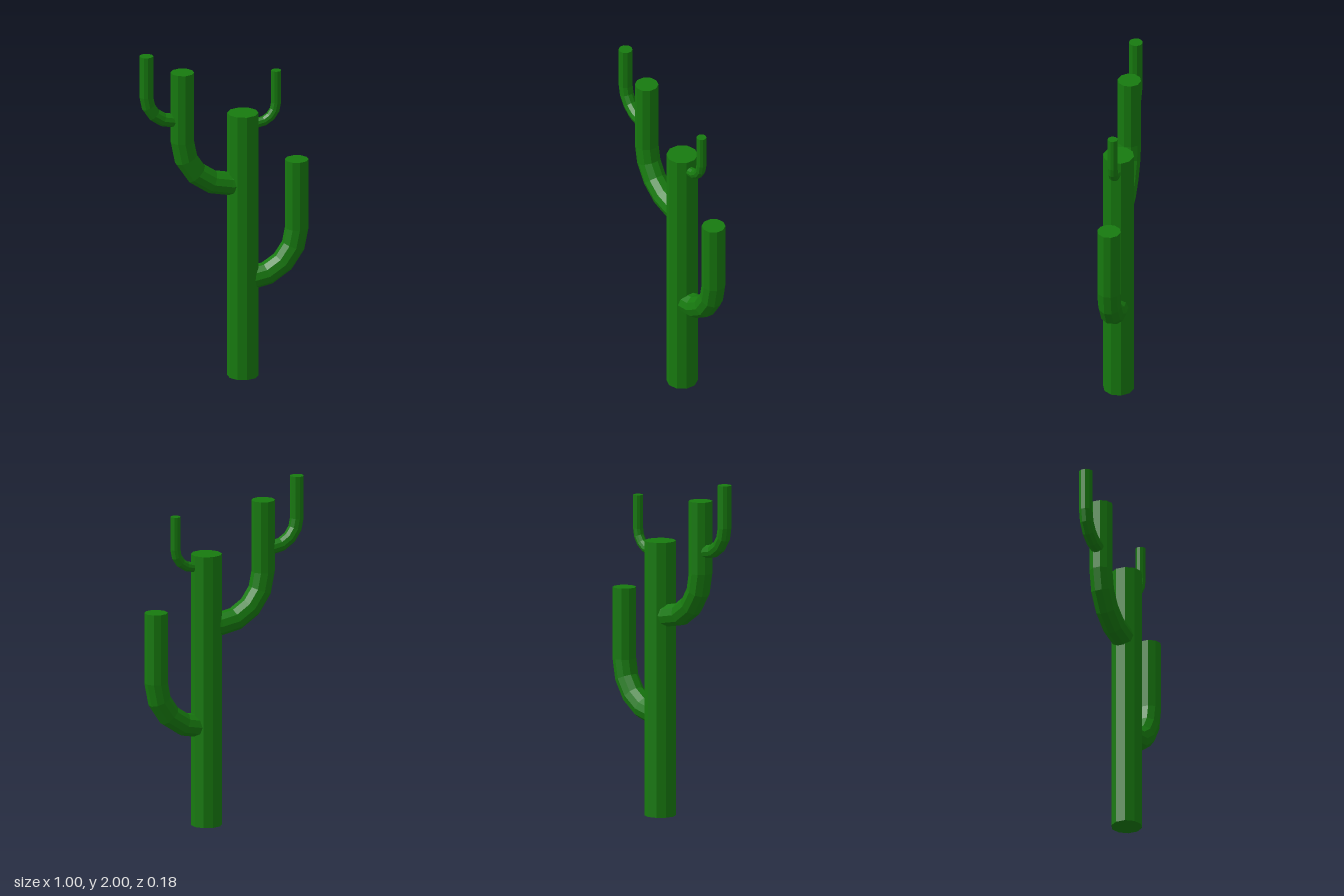
import * as THREE from 'three';

const SIDES = 10;
const BENDS = 4; // straight pieces in each elbow

// Bent stem: leaves sideways along +x, turns up through a quarter circle, ends at height
function stemGeometry(radius, bend, height, root) {
  const rings = BENDS + 2;
  const geo = new THREE.CylinderGeometry(radius, radius, 1, SIDES, rings);
  const pos = geo.attributes.position;
  for (let i = 0; i < pos.count; i++) {
    const ring = Math.round((pos.getY(i) + 0.5) * rings);
    const t = (THREE.MathUtils.clamp(ring - 1, 0, BENDS) / BENDS) * Math.PI / 2;
    let cx = bend * Math.sin(t);
    let cy = bend * (1 - Math.cos(t));
    if (ring === 0) cx = -root; // buried in the parent stem
    if (ring === rings) cy = height;
    const x = pos.getX(i);
    pos.setXY(i, cx + x * Math.sin(t), cy - x * Math.cos(t));
  }
  geo.computeVertexNormals();
  return geo;
}

export function createModel() {
  const model = new THREE.Group();
  model.name = 'cactus';
  const green = new THREE.MeshStandardMaterial({ color: 0x177a0f, flatShading: true });

  const add = (name, geo, x, y) => {
    const mesh = new THREE.Mesh(geo, green);
    mesh.name = name;
    mesh.position.set(x, y, 0);
    model.add(mesh);
    return mesh;
  };

  // Trunk
  add('trunk', new THREE.CylinderGeometry(0.09, 0.09, 1.6, SIDES), 0.112, 0.8);

  // Arms: side +1 grows to the left (+x), -1 to the right (-x)
  const arms = [
    { name: 'leftArm', side: 1, x: 0.432, y: 0.587, top: 1.286, radius: 0.068, bend: 0.285, root: 0.04 },
    { name: 'rightArm', side: -1, x: -0.248, y: 1.175, top: 1.88, radius: 0.068, bend: 0.285, root: 0.04 },
    { name: 'leftShoot', side: 1, x: 0.309, y: 1.53, top: 1.84, radius: 0.029, bend: 0.115, root: 0.04 },
    { name: 'rightShoot', side: -1, x: -0.462, y: 1.592, top: 2, radius: 0.04, bend: 0.16, root: 0.04 },
  ];
  for (const a of arms) {
    const geo = stemGeometry(a.radius, a.bend, a.top - a.y, a.root);
    const mesh = add(a.name, geo, a.x - a.side * a.bend, a.y);
    if (a.side < 0) mesh.rotation.y = Math.PI;
  }
  return model;
}
